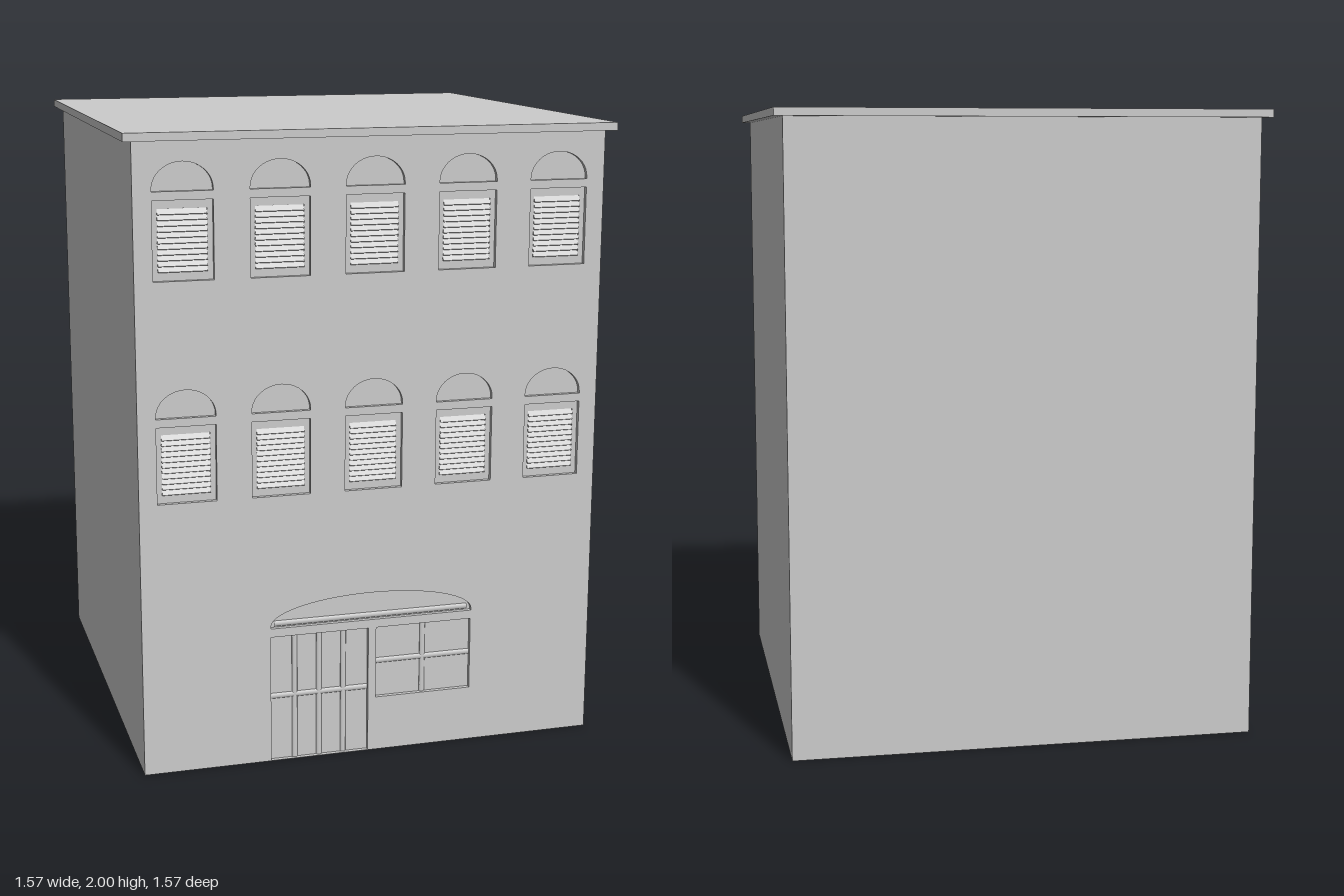
import * as THREE from 'three';

const W = 1.483, TOP = 1.975, HALF = W / 2, DEPTH = 0.014;
const mat = new THREE.MeshStandardMaterial({ color: 0xcccccc, side: THREE.DoubleSide });

function add(parent, name, geo, x = 0, y = 0, z = 0) {
  const m = new THREE.Mesh(geo, mat);
  m.name = name;
  m.position.set(x, y, z);
  parent.add(m);
  return m;
}

const rectPts = (x0, y0, x1, y1) => [[x0, y0], [x1, y0], [x1, y1], [x0, y1]]
  .map(([x, y]) => new THREE.Vector2(x, y));

// Flat-bottomed arch: upper half of an ellipse standing on a short upright
function archPts(cx, y0, rx, h, upright, n = 20) {
  const pts = [new THREE.Vector2(cx - rx, y0), new THREE.Vector2(cx + rx, y0)];
  for (let i = 0; i <= n; i++) {
    const a = Math.PI * i / n;
    pts.push(new THREE.Vector2(cx + rx * Math.cos(a), y0 + upright + (h - upright) * Math.sin(a)));
  }
  return pts;
}

// Reveal: the strip of wall running back from an outline
function revealGeometry(pts, depth) {
  const pos = [];
  pts.forEach((a, i) => {
    const b = pts[(i + 1) % pts.length];
    pos.push(a.x, a.y, 0, a.x, a.y, -depth, b.x, b.y, -depth);
    pos.push(a.x, a.y, 0, b.x, b.y, -depth, b.x, b.y, 0);
  });
  const g = new THREE.BufferGeometry();
  g.setAttribute('position', new THREE.Float32BufferAttribute(pos, 3));
  g.computeVertexNormals();
  return g;
}

// Recessed panel, optionally with an opening cut through it
function recess(parent, name, pts, hole) {
  const g = new THREE.Group();
  g.name = name;
  parent.add(g);
  const shape = new THREE.Shape(pts);
  if (hole) shape.holes.push(new THREE.Path(hole));
  add(g, name + 'Reveal', revealGeometry(pts, DEPTH));
  add(g, name + 'Panel', new THREE.ShapeGeometry(shape), 0, 0, -DEPTH);
  return g;
}

// Softly rounded glazing bar
function bar(parent, x, y, length, horizontal) {
  const geo = new THREE.CylinderGeometry(0.009, 0.009, length, 12, 1, true);
  geo.scale(1, 1, 0.6);
  const m = add(parent, 'glazingBar', geo, x, y, -DEPTH);
  if (horizontal) m.rotation.z = Math.PI / 2;
}

function glaze(parent, x0, y0, x1, y1, columns, yBar) {
  for (let i = 1; i < columns; i++) {
    bar(parent, x0 + (x1 - x0) * i / columns, (y0 + y1) / 2, y1 - y0, false);
  }
  bar(parent, (x0 + x1) / 2, yBar, x1 - x0, true);
}

export function createModel() {
  const model = new THREE.Group();
  model.name = 'building';
  const house = new THREE.Group();
  house.name = 'house';
  house.rotation.y = 0.0192; // stands slightly turned
  model.add(house);

  const facade = new THREE.Group();
  facade.name = 'facade';
  facade.position.z = HALF;
  house.add(facade);
  const wall = new THREE.Shape(rectPts(-HALF, 0, HALF, TOP));
  const cut = (pts) => { wall.holes.push(new THREE.Path(pts)); return pts; };

  // Two rows of louvred windows with arched recesses above
  for (const y of [0.877, 1.56]) {
    for (let i = -2; i <= 2; i++) {
      const x = i * 0.296;
      const outer = cut(rectPts(x - 0.0925, y, x + 0.0925, y + 0.24));
      const inner = rectPts(x - 0.075, y + 0.026, x + 0.075, y + 0.214);
      const win = recess(facade, 'shutterWindow', outer, inner);
      for (let k = 0; k < 11; k++) {
        const slat = add(win, 'slat', new THREE.BoxGeometry(0.15, 0.02, 0.003),
          x, y + 0.026 + (k + 0.5) * 0.188 / 11, -DEPTH);
        slat.rotation.x = -0.6;
      }
      recess(facade, 'windowArch', cut(archPts(x, y + 0.266, 0.0925, 0.087, 0.006)));
    }
  }

  // Entrance: door, side window and the wide shallow arch over both
  const eps = 0.001; // keeps the door opening inside the wall outline
  const door = recess(facade, 'door', cut(rectPts(-0.333, eps, -0.013, 0.417)));
  glaze(door, -0.333, eps, -0.013, 0.417, 4, 0.215);
  const side = recess(facade, 'sideWindow', cut(rectPts(0.013, 0.18, 0.331, 0.417)));
  glaze(side, 0.013, 0.18, 0.331, 0.417, 2, 0.3);
  const arch = recess(facade, 'entranceArch', cut(archPts(0, 0.445, 0.333, 0.091, 0.006, 28)));
  bar(arch, 0, 0.457, 0.64, true);

  add(facade, 'frontWall', new THREE.ShapeGeometry(wall));

  // Plain side and back walls, open underneath
  [['leftWall', 1], ['backWall', 2], ['rightWall', 3]].forEach(([name, q]) => {
    const a = q * Math.PI / 2;
    const m = add(house, name, new THREE.PlaneGeometry(W, TOP),
      Math.sin(a) * HALF, TOP / 2, Math.cos(a) * HALF);
    m.rotation.y = a;
  });

  // Flat overhanging roof slab
  add(house, 'roof', new THREE.BoxGeometry(1.54, 0.025, 1.54), 0, TOP + 0.0125, 0);
  return model;
}
